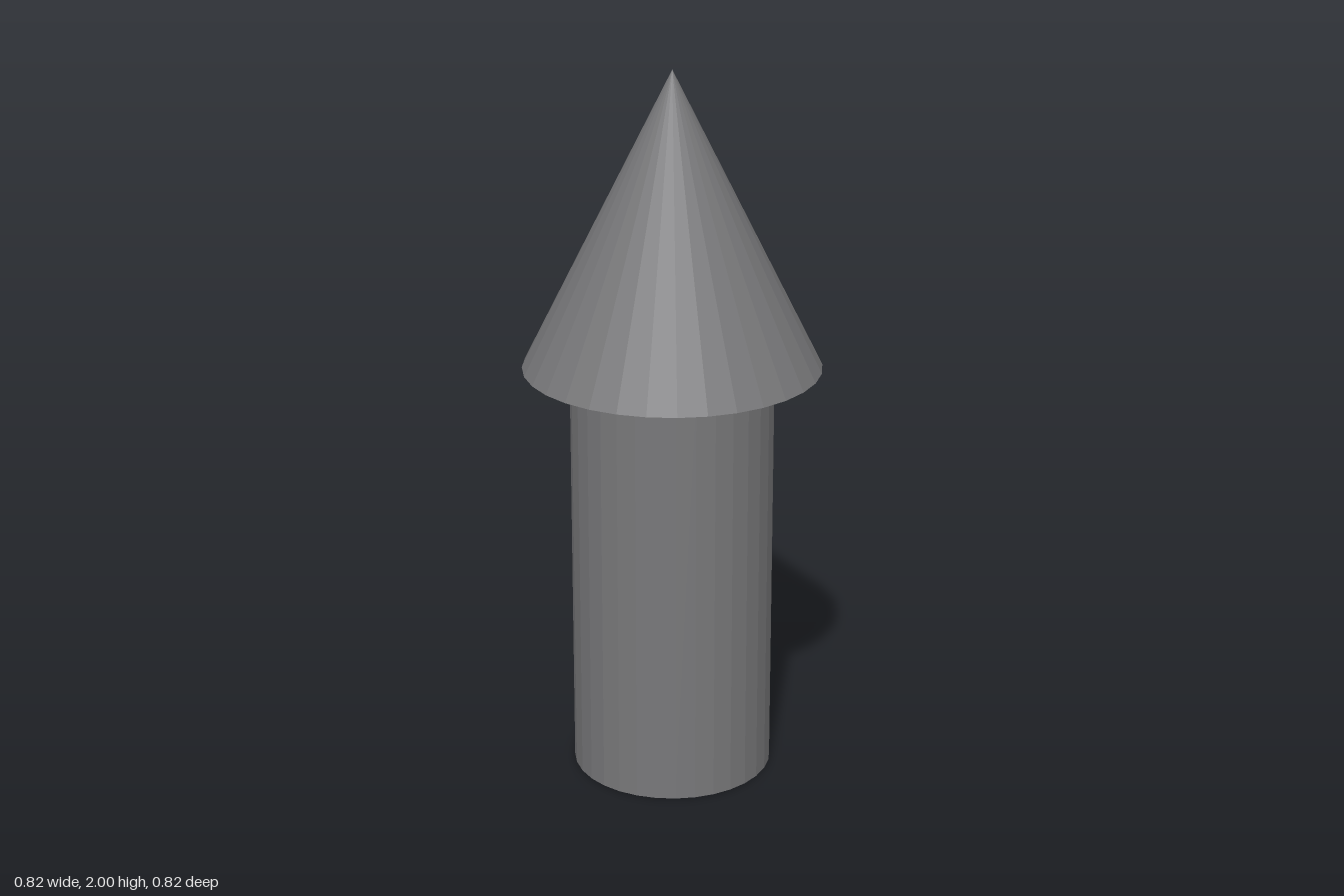
import * as THREE from 'three';

const SIDES = 32;
const SHAFT_RADIUS = 0.28;
const HEAD_RADIUS = 0.41;
const HEAD_BASE = 1.18;
const HEIGHT = 2;

export function createModel() {
  const group = new THREE.Group();
  group.name = 'upArrow';

  const grey = new THREE.MeshStandardMaterial({ color: 0x78787a, flatShading: true });
  grey.name = 'darkGrey';

  const addPart = (name, geometry, y) => {
    const mesh = new THREE.Mesh(geometry, grey);
    mesh.name = name;
    mesh.position.y = y;
    group.add(mesh);
  };

  // Round shaft standing on the ground
  addPart('shaft', new THREE.CylinderGeometry(SHAFT_RADIUS, SHAFT_RADIUS, HEAD_BASE, SIDES), HEAD_BASE / 2);

  // Pointed head with a flat underside
  const headHeight = HEIGHT - HEAD_BASE;
  addPart('head', new THREE.ConeGeometry(HEAD_RADIUS, headHeight, SIDES), HEAD_BASE + headHeight / 2);

  return group;
}
